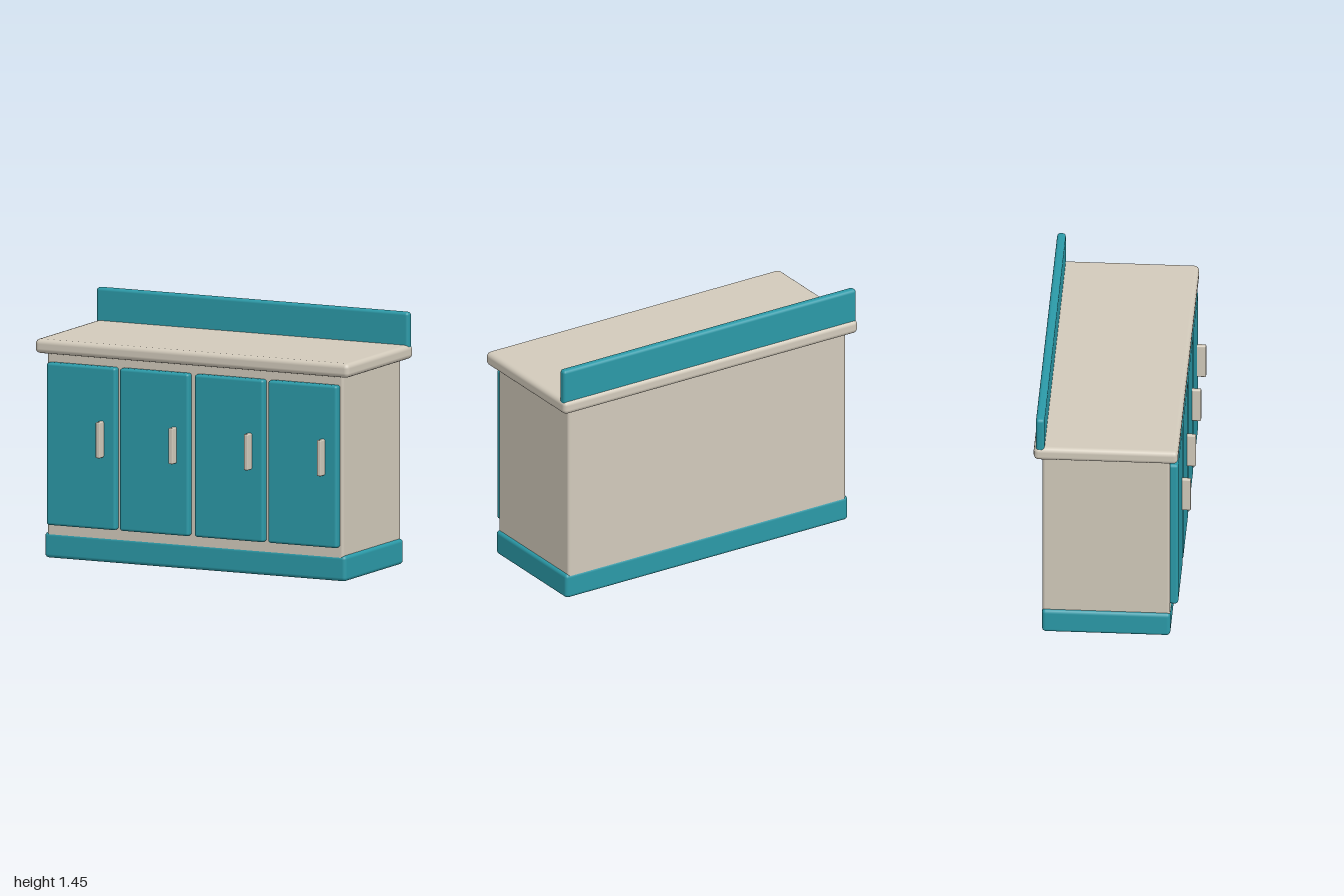
import * as THREE from 'three';
import { RoundedBoxGeometry } from 'three/addons/geometries/RoundedBoxGeometry.js';

const teal = new THREE.MeshStandardMaterial({ color: 0x2b9aa8 });
const cream = new THREE.MeshStandardMaterial({ color: 0xd2cabb });

// Soft-edged box given by its [min, max] extents along each axis
function softBox(name, material, [x0, x1], [y0, y1], [z0, z1], radius) {
  const geometry = new RoundedBoxGeometry(x1 - x0, y1 - y0, z1 - z0, 2, radius);
  const mesh = new THREE.Mesh(geometry, material);
  mesh.name = name;
  mesh.position.set((x0 + x1) / 2, (y0 + y1) / 2, (z0 + z1) / 2);
  return mesh;
}

export function createModel() {
  const group = new THREE.Group();
  group.name = 'kitchenCabinet';

  // Carcass: plinth, body, worktop and upstand
  group.add(
    softBox('plinth', teal, [-0.96, 0.955], [0.005, 0.152], [-0.387, 0.341], 0.022),
    softBox('body', cream, [-0.943, 0.938], [0.06, 1.2], [-0.384, 0.338], 0.016),
    softBox('worktop', cream, [-1, 0.995], [1.18, 1.262], [-0.432, 0.387], 0.028),
    softBox('backsplash', teal, [-0.994, 0.99], [1.21, 1.45], [-0.419, -0.37], 0.018)
  );

  // Four doors, each with an upright pull near its left edge
  const doorStarts = [-0.926, -0.462, 0.014, 0.481];
  const handleCentres = [-0.573, -0.11, 0.368, 0.832];
  doorStarts.forEach((x, i) => {
    const door = new THREE.Group();
    door.name = `door${i + 1}`;
    const h = handleCentres[i];
    door.add(
      softBox('doorPanel', teal, [x, x + 0.44], [0.2, 1.132], [0.33, 0.384], 0.016),
      softBox('handle', cream, [h - 0.014, h + 0.014], [0.615, 0.822], [0.37, 0.435], 0.007)
    );
    group.add(door);
  });

  return group;
}
